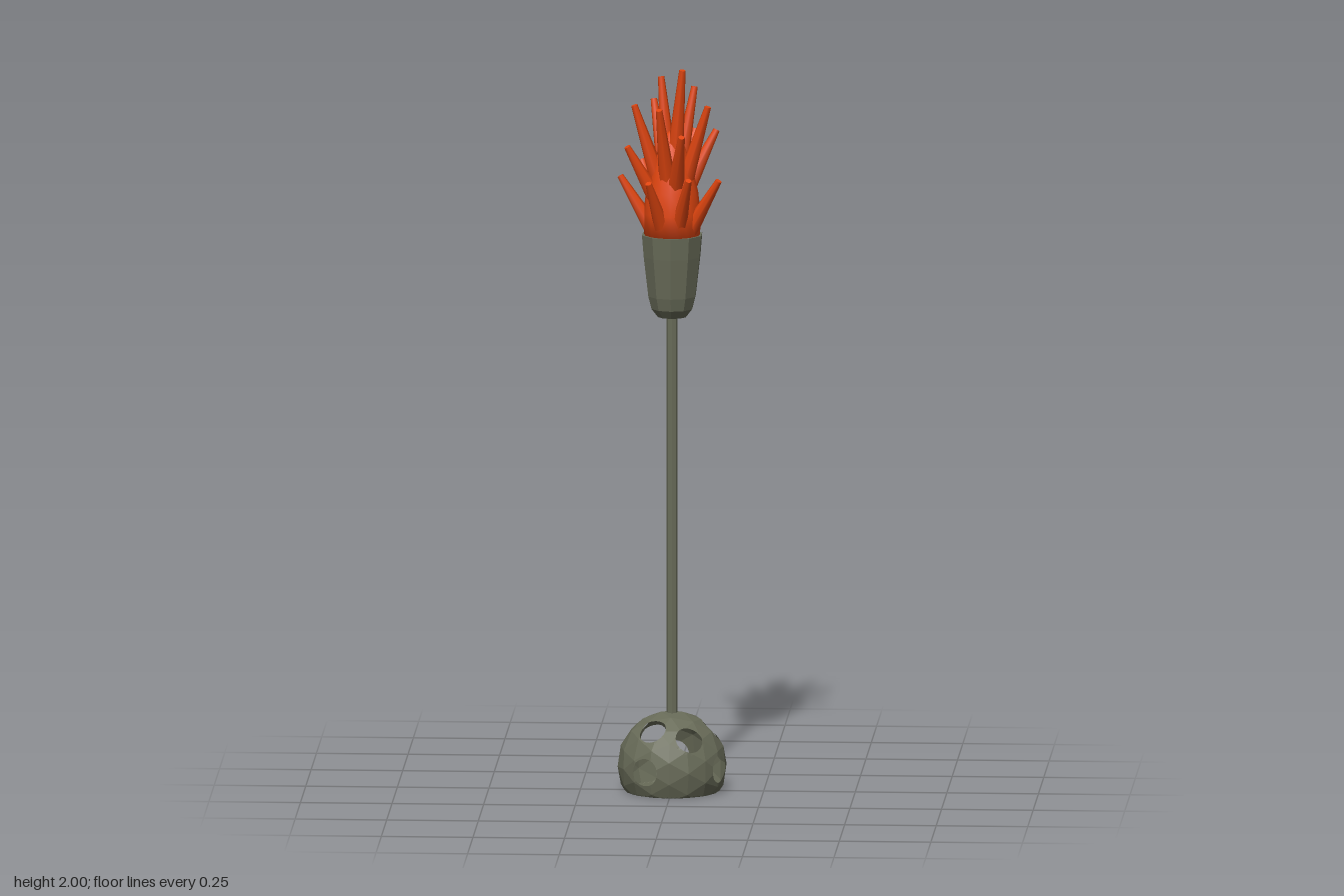
import * as THREE from 'three';

const metal = new THREE.MeshStandardMaterial({ color: 0x686b58, side: THREE.DoubleSide, flatShading: true });
metal.name = 'greyGreen';
const orange = new THREE.MeshStandardMaterial({ color: 0xe0450f });
orange.name = 'orange';

const R = 0.15, BASE_Y = 0.07, HOLE = 0.26;

// Direction from azimuth (x towards z) and elevation, in degrees
function dir(az, el) {
  const a = az * Math.PI / 180, e = el * Math.PI / 180;
  return new THREE.Vector3(Math.cos(a) * Math.cos(e), Math.sin(e), Math.sin(a) * Math.cos(e));
}

// Faceted hollow ball, cut flat below, with round holes
function perforatedBall() {
  const holes = [[118, 0], [23, 0], [-90, 2], [120, 48], [63, 37], [-10, 44], [-41, 31], [-116, 24], [-150, 40]]
    .map(([a, e]) => dir(a, e));
  // Face normals of a coarse ball give the flat facets
  const coarse = new THREE.IcosahedronGeometry(1, 2).getAttribute('position');
  const facets = [];
  for (let i = 0; i < coarse.count; i += 3) {
    const c = [0, 1, 2].map(k => new THREE.Vector3().fromBufferAttribute(coarse, i + k));
    const n = c[1].clone().sub(c[0]).cross(c[2].clone().sub(c[0])).normalize();
    facets.push({ n, d: n.dot(c[0]) });
  }
  const src = new THREE.IcosahedronGeometry(1, 26).getAttribute('position');
  const out = [];
  for (let i = 0; i < src.count; i += 3) {
    const tri = [0, 1, 2].map(k => new THREE.Vector3().fromBufferAttribute(src, i + k).normalize());
    // Snap corners close to a rim onto that rim
    for (const v of tri) {
      for (const h of holes) {
        const a = v.angleTo(h);
        if (Math.abs(a - HOLE) < 0.024) {
          const side = v.clone().addScaledVector(h, -v.dot(h)).normalize();
          v.copy(h).multiplyScalar(Math.cos(HOLE)).addScaledVector(side, Math.sin(HOLE));
        }
      }
    }
    const mid = tri[0].clone().add(tri[1]).add(tri[2]).normalize();
    if (holes.some(h => mid.angleTo(h) < HOLE)) continue;
    for (const v of tri) {
      let r = 1.02;
      for (const f of facets) {
        const q = f.n.dot(v);
        if (q > 0.8) r = Math.min(r, f.d / q);
      }
      v.multiplyScalar(r * R);
      out.push(v.x, Math.max(v.y, -BASE_Y), v.z);
    }
  }
  const g = new THREE.BufferGeometry();
  g.setAttribute('position', new THREE.Float32BufferAttribute(out, 3));
  g.computeVertexNormals();
  return g;
}

function lathe(points, sides) {
  return new THREE.LatheGeometry(points.map(p => new THREE.Vector2(p[0], p[1])), sides);
}

export function createModel() {
  const model = new THREE.Group();
  const add = (name, geometry, material, parent = model) => {
    const m = new THREE.Mesh(geometry, material);
    m.name = name;
    parent.add(m);
    return m;
  };

  // Base and pole
  add('perforatedBase', perforatedBall(), metal).position.y = BASE_Y;
  add('pole', new THREE.CylinderGeometry(0.015, 0.015, 1.13, 8), metal).position.y = 0.765;

  // Cup with a thin rim
  add('cup', lathe([[0, 1.31], [0.04, 1.312], [0.058, 1.335], [0.067, 1.37],
    [0.08, 1.48], [0.085, 1.54], [0.077, 1.54], [0.075, 1.52]], 10), metal);

  // Flame core
  const flame = new THREE.Group();
  flame.name = 'flame';
  model.add(flame);
  add('flameCore', lathe([[0, 1.52], [0.076, 1.52], [0.078, 1.6], [0.071, 1.66],
    [0.056, 1.72], [0.036, 1.78], [0.016, 1.82], [0, 1.83]], 16), orange, flame);

  // Flame spikes: tip x, y, z
  const tips = [
    // low ring
    [-0.142, 1.7, -0.003], [0.131, 1.7, 0.062], [0.002, 1.7, -0.142], [-0.058, 1.7, 0.117],
    [0.052, 1.71, 0.122], [-0.088, 1.73, -0.092],
    // middle ring
    [-0.12, 1.79, 0.052], [0.118, 1.82, -0.058], [0.056, 1.81, -0.122], [0.033, 1.83, 0.122], [-0.034, 1.79, -0.124],
    // high ring
    [-0.102, 1.9, 0.022], [0.1, 1.9, 0.038], [-0.03, 1.9, 0.098], [-0.055, 1.9, -0.085],
    // crown
    [0.03, 2.0, 0.035], [-0.032, 1.97, -0.034], [0.058, 1.94, -0.055],
  ];
  for (const [x, y, z] of tips) {
    const tip = new THREE.Vector3(x, y, z);
    const crown = y > 1.92, high = y > 1.85;
    const k = crown ? 0.25 : 0.36;
    const drop = crown ? 0.25 : high ? 0.21 : 0.15;
    const root = new THREE.Vector3(x * k, y - drop, z * k);
    const along = tip.clone().sub(root);
    const spike = add('flameSpike', new THREE.CylinderGeometry(0.009, 0.024, along.length(), 7), orange, flame);
    spike.position.copy(root).addScaledVector(along, 0.5);
    spike.quaternion.setFromUnitVectors(new THREE.Vector3(0, 1, 0), along.normalize());
  }
  return model;
}
